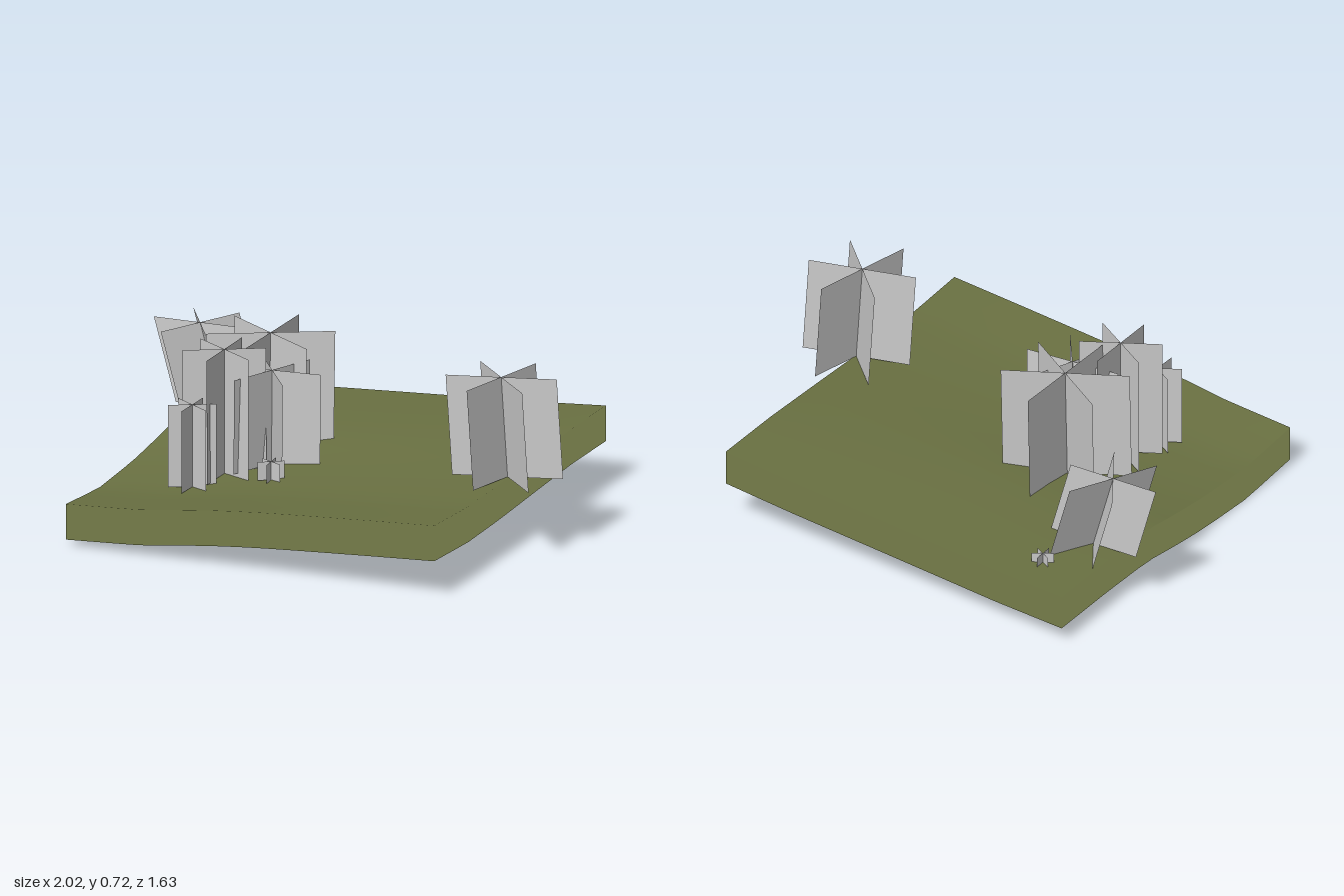
import * as THREE from 'three';

// Piecewise linear curve through [position, value] points
function sample(points, v) {
  for (let i = 1; i < points.length; i++) {
    const [a, fa] = points[i - 1], [b, fb] = points[i];
    if (v <= b || i === points.length - 1) {
      return THREE.MathUtils.lerp(fa, fb, THREE.MathUtils.clamp((v - a) / (b - a), 0, 1));
    }
  }
}

const HALF = 0.815, THICK = 0.15, STEPS = 15;
const leftEdge = [[-0.82, 0.227], [-0.5, 0.23], [-0.2, 0.225], [0, 0.195], [0.2, 0.172], [0.5, 0.155], [0.82, 0.18]];
const rightEdge = [[-0.82, 0.337], [-0.5, 0.337], [-0.2, 0.325], [0.2, 0.307], [0.5, 0.3], [0.82, 0.316]];
const frontRise = [[-0.82, 0], [-0.5, 0.15], [-0.2, 0.44], [0, 0.59], [0.2, 0.7], [0.5, 0.85], [0.82, 1]];
const backRise = [[-0.82, 0], [-0.5, 0.12], [0, 0.44], [0.5, 0.75], [0.82, 1]];

// Ground height blended between the four edges
function groundY(x, z) {
  const rise = THREE.MathUtils.lerp(sample(backRise, x), sample(frontRise, x), (z + HALF) / (2 * HALF));
  return THREE.MathUtils.lerp(sample(leftEdge, z), sample(rightEdge, z), rise);
}

function makeGround(material) {
  const ground = new THREE.Group();
  ground.name = 'ground';

  // Rolling top surface
  const top = new THREE.PlaneGeometry(2 * HALF, 2 * HALF, STEPS, STEPS).rotateX(-Math.PI / 2);
  const p = top.attributes.position;
  for (let i = 0; i < p.count; i++) p.setY(i, groundY(p.getX(i), p.getZ(i)));
  top.computeVertexNormals();
  const topMesh = new THREE.Mesh(top, material);
  topMesh.name = 'groundSurface';
  ground.add(topMesh);

  // Skirt around the rim, open underneath, shaded as a continuation of the top
  for (let side = 0; side < 4; side++) {
    const wall = new THREE.PlaneGeometry(2 * HALF, THICK, STEPS, 1);
    wall.translate(0, 0, HALF).rotateY(side * Math.PI / 2);
    const w = wall.attributes.position;
    for (let i = 0; i < w.count; i++) {
      const drop = w.getY(i) > 0 ? 0 : THICK;
      w.setY(i, groundY(w.getX(i), w.getZ(i)) - drop);
      wall.attributes.normal.setXYZ(i, 0, 1, 0);
    }
    const wallMesh = new THREE.Mesh(wall, material);
    wallMesh.name = 'groundSkirt';
    ground.add(wallMesh);
  }
  return ground;
}

// Three crossed upright cards, sheared so the foot is offset from the top
function makePlant({ x, z, top, radius, angle, foot = [0, 0] }, material) {
  const plant = new THREE.Group();
  plant.name = 'plant';
  const base = groundY(x + foot[0], z + foot[1]);
  const height = top - base;
  for (let k = 0; k < 3; k++) {
    const card = new THREE.PlaneGeometry(2 * radius, height, 2, 1);
    card.rotateY(-THREE.MathUtils.degToRad(angle + 60 * k));
    const p = card.attributes.position;
    for (let i = 0; i < p.count; i++) {
      if (p.getY(i) < 0) {
        p.setX(i, p.getX(i) + foot[0]);
        p.setZ(i, p.getZ(i) + foot[1]);
      }
    }
    card.translate(x, base + height / 2, z);
    card.computeVertexNormals();
    const mesh = new THREE.Mesh(card, material);
    mesh.name = 'leafCard';
    plant.add(mesh);
  }
  return plant;
}

export function createModel() {
  const grass = new THREE.MeshStandardMaterial({ color: 0x6a7142, side: THREE.DoubleSide });
  grass.name = 'mossGreen';
  const leaf = new THREE.MeshStandardMaterial({ color: 0xcccccc, side: THREE.DoubleSide });
  leaf.name = 'paleGrey';

  const model = new THREE.Group();
  model.name = 'plantedGround';
  model.add(makeGround(grass));

  // Angles in degrees, turning from +x towards +z
  const plants = [
    { x: -0.315, z: -0.055, top: 0.715, radius: 0.26, angle: 31, foot: [0, 0.015] },
    { x: -0.215, z: 0.145, top: 0.63, radius: 0.205, angle: -7, foot: [-0.01, -0.015] },
    { x: -0.38, z: 0.245, top: 0.725, radius: 0.168, angle: 30, foot: [0.004, 0.006] },
    { x: -0.44, z: 0.42, top: 0.535, radius: 0.098, angle: 31 },
    { x: -0.14, z: 0.315, top: 0.305, radius: 0.055, angle: 25 },
    { x: 0.785, z: 0.115, top: 0.73, radius: 0.225, angle: -17, foot: [0.025, -0.007] },
    { x: -0.8, z: -0.425, top: 0.58, radius: 0.2, angle: -3, foot: [0.1, 0.005] },
    { x: -0.615, z: -0.655, top: 0.28, radius: 0.045, angle: -32 },
  ];
  for (const plant of plants) model.add(makePlant(plant, leaf));
  return model;
}
